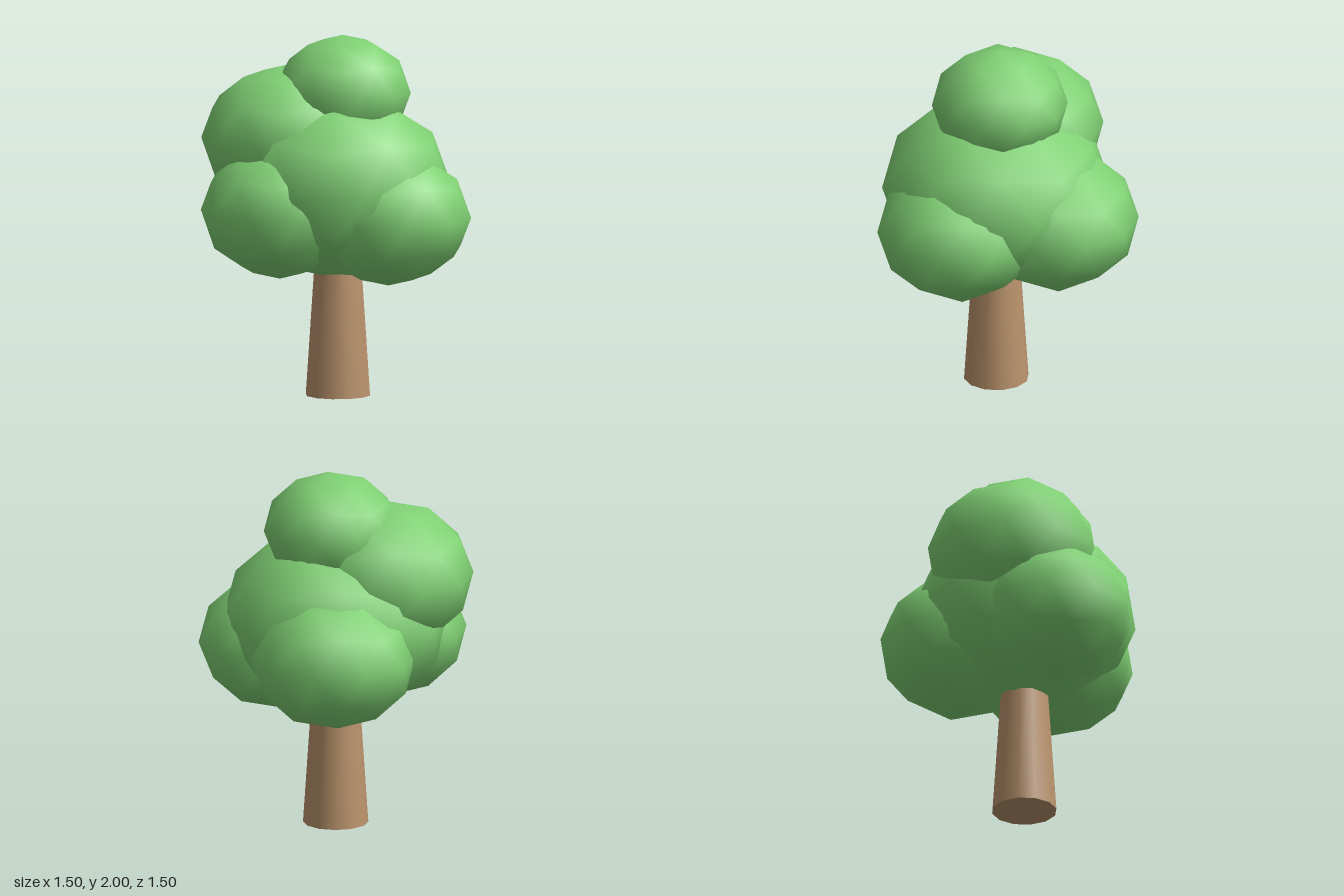
import * as THREE from 'three';

export function createModel() {
  const tree = new THREE.Group();
  tree.name = 'tree';

  const leafGreen = new THREE.MeshStandardMaterial({ color: 0x80d174 });
  leafGreen.name = 'leaf green';
  const barkBrown = new THREE.MeshStandardMaterial({ color: 0xbb946d });
  barkBrown.name = 'bark brown';

  // Tapered trunk, its top hidden in the crown
  const trunk = new THREE.Mesh(new THREE.CylinderGeometry(0.12, 0.18, 0.9, 12), barkBrown);
  trunk.name = 'trunk';
  trunk.position.set(0, 0.45, -0.02);
  tree.add(trunk);

  // Smooth 80-face ball, turned so that corners sit at its poles
  const ball = new THREE.IcosahedronGeometry(1, 1);
  ball.rotateZ(-Math.atan(2 / (1 + Math.sqrt(5))));

  // Foliage clumps: name, centre, horizontal radius, vertical radius
  const clumps = [
    ['mainFoliage', [0, 1.17, -0.02], 0.63, 0.52],
    ['topFoliage', [0.037, 1.68, -0.015], 0.375, 0.32],
    ['backFoliage', [-0.13, 1.42, -0.27], 0.48, 0.41],
    ['rightFoliage', [-0.335, 1.05, -0.155], 0.437, 0.38],
    ['leftFoliage', [0.315, 1.03, -0.19], 0.455, 0.39],
    ['frontFoliage', [0.065, 1.01, 0.29], 0.457, 0.38],
  ];
  for (const [name, centre, radius, height] of clumps) {
    const clump = new THREE.Mesh(ball, leafGreen);
    clump.name = name;
    clump.position.set(...centre);
    clump.scale.set(radius, height, radius);
    tree.add(clump);
  }

  return tree;
}
